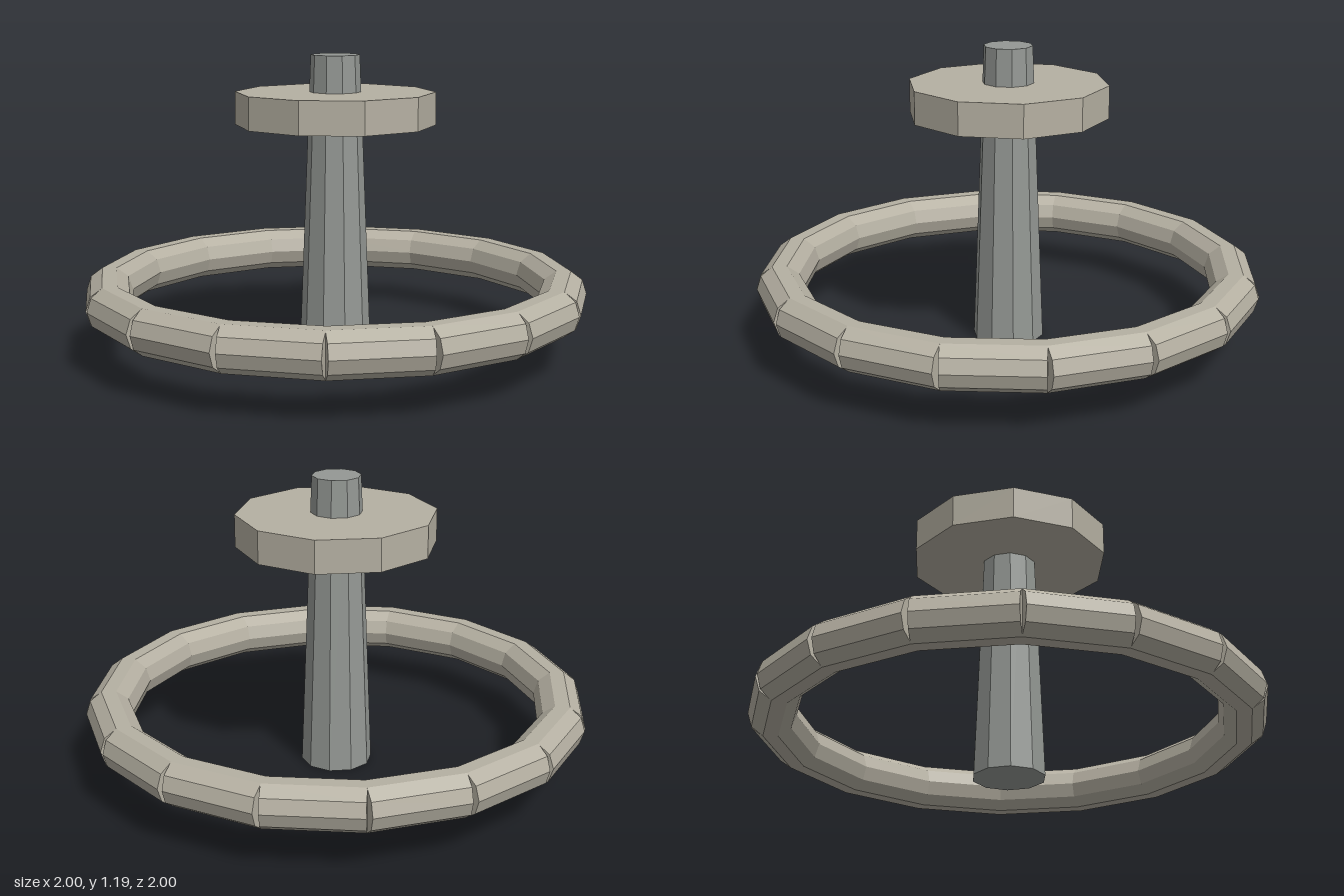
import * as THREE from 'three';

const SIDES = 10;
const SEGMENTS = 16;

const stone = new THREE.MeshStandardMaterial({ color: 0xb5b0a2, flatShading: true });
const metal = new THREE.MeshStandardMaterial({ color: 0x949894, flatShading: true });

// Ten-sided cylinder with a corner pointing along x
function prism(topRadius, bottomRadius, height) {
  return new THREE.CylinderGeometry(topRadius, bottomRadius, height, SIDES, 1, false, Math.PI / 2);
}

function part(name, geometry, material, y) {
  const mesh = new THREE.Mesh(geometry, material);
  mesh.name = name;
  mesh.position.y = y;
  return mesh;
}

export function createModel() {
  const model = new THREE.Group();
  model.name = 'pillarWithRing';

  // Tapered pole and the disc around its upper end
  model.add(part('pole', prism(0.096, 0.142, 1.186), metal, 0.593));
  model.add(part('disc', prism(0.394, 0.394, 0.13), stone, 0.976));

  // Ring of straight bars whose ends overlap inside and gape outside
  const ring = new THREE.Group();
  ring.name = 'ring';
  const bar = prism(0.092, 0.092, 0.368).rotateX(Math.PI / 2);
  for (let i = 0; i < SEGMENTS; i++) {
    const angle = ((i + 0.5) / SEGMENTS) * Math.PI * 2;
    const segment = part('ringSegment', bar, stone, 0.242);
    segment.position.x = Math.cos(angle) * 0.891;
    segment.position.z = -Math.sin(angle) * 0.891;
    segment.rotation.y = angle;
    ring.add(segment);
  }
  model.add(ring);

  return model;
}
